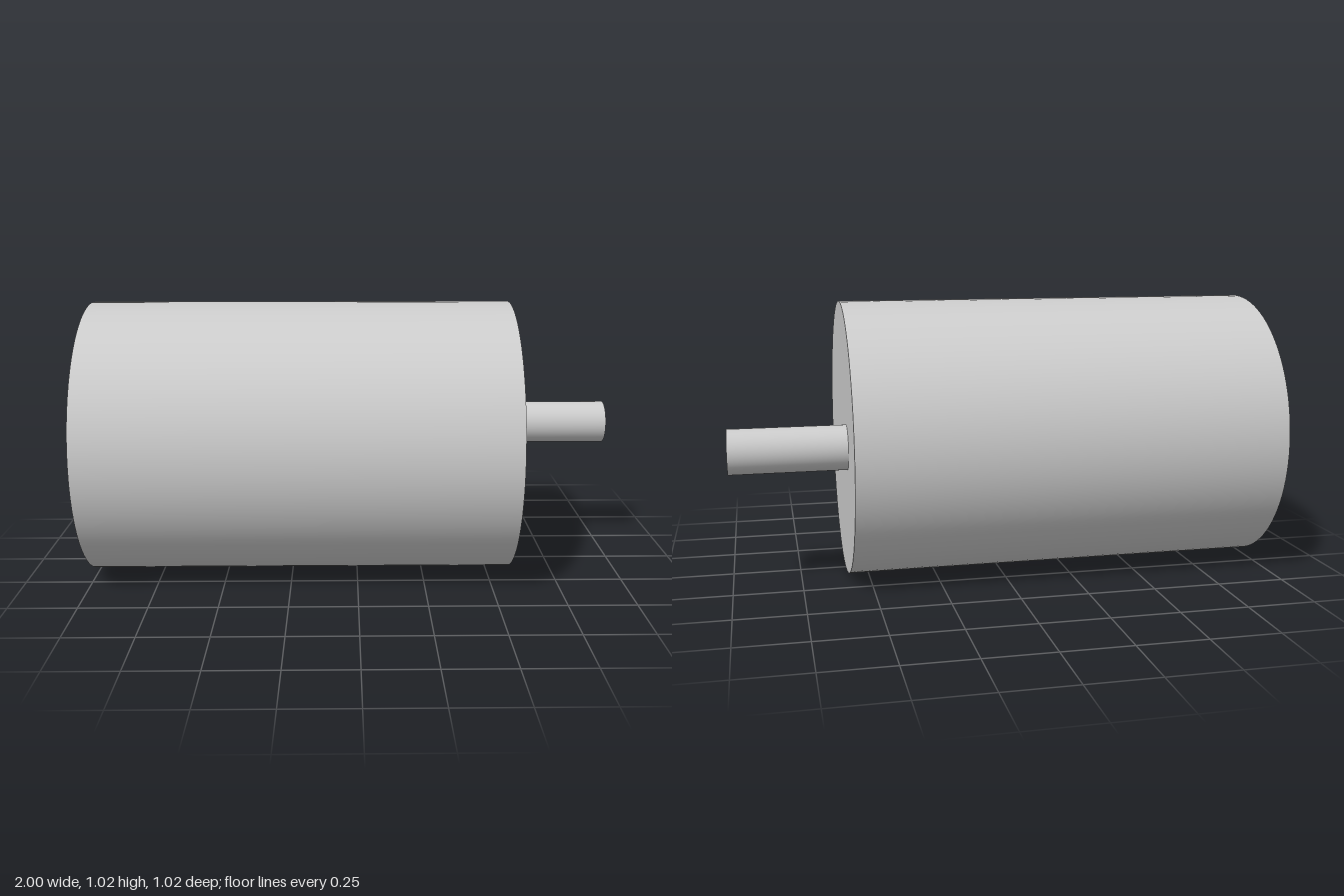
import * as THREE from 'three';

const material = new THREE.MeshStandardMaterial({ color: 0xcccccc });

// Cylinder lying along x, from x0 to x1
function rod(name, radius, x0, x1, y, z, sides) {
  const geometry = new THREE.CylinderGeometry(radius, radius, x1 - x0, sides);
  geometry.rotateZ(-Math.PI / 2);
  const mesh = new THREE.Mesh(geometry, material);
  mesh.name = name;
  mesh.position.set((x0 + x1) / 2, y, z);
  return mesh;
}

export function createModel() {
  const bodyRadius = 0.512;
  const faceX = 0.578;
  const model = new THREE.Group();
  model.name = 'gearMotor';

  // Motor housing
  model.add(rod('motorBody', bodyRadius, -1, faceX, bodyRadius, 0, 96));

  // Output shaft, offset towards the back
  model.add(rod('outputShaft', 0.082, faceX, 1, bodyRadius, -0.193, 48));

  return model;
}
